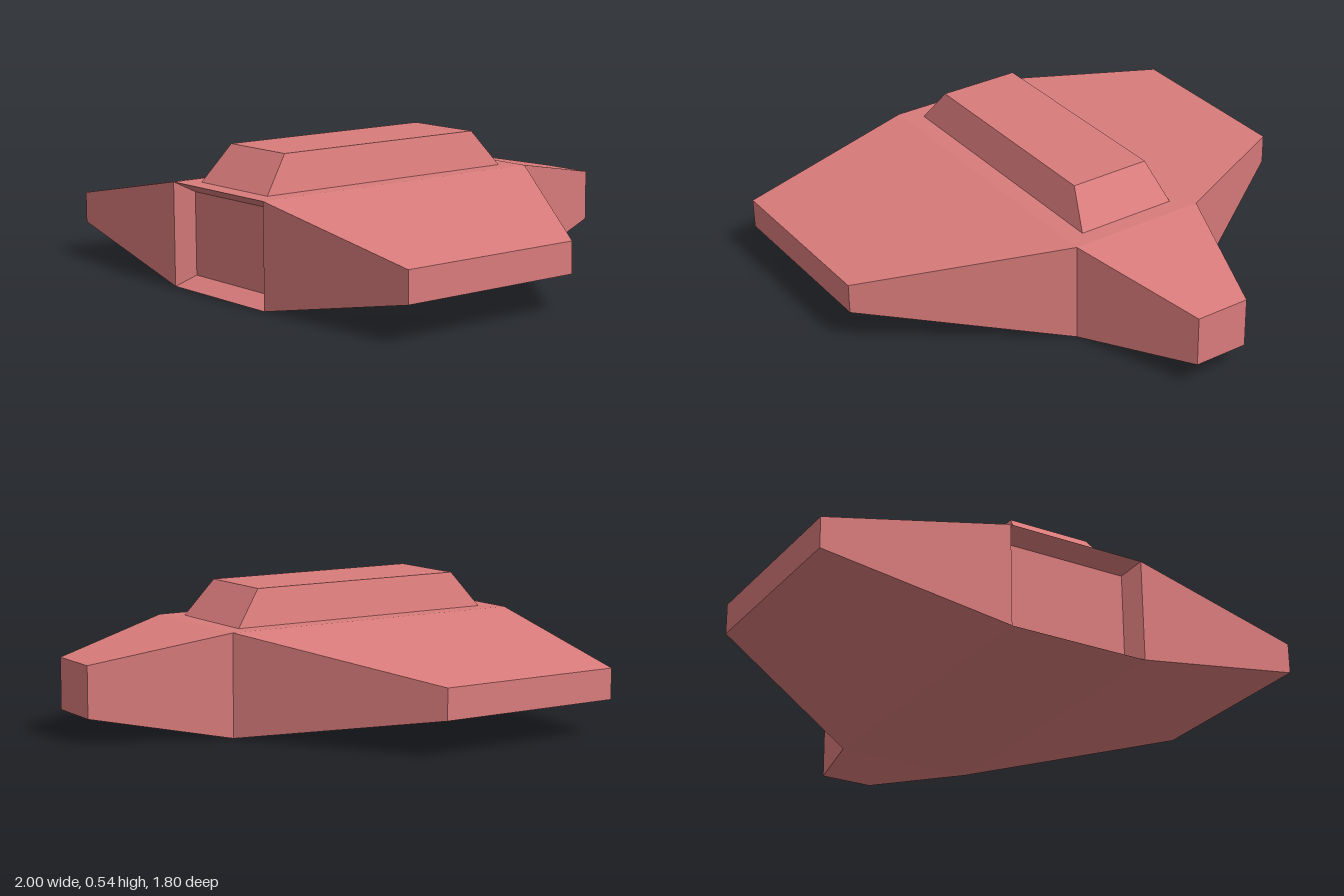
import * as THREE from 'three';

// Skin a list of four-cornered rings, with optional flat end caps.
// Corners run counterclockwise about the direction of travel.
function loft(name, rings, material, capStart, capEnd) {
  const pos = [];
  const quad = (a, b, c, d) => pos.push(...a, ...b, ...c, ...a, ...c, ...d);
  for (let r = 0; r < rings.length - 1; r++) {
    const a = rings[r], b = rings[r + 1];
    for (let i = 0; i < 4; i++) {
      const j = (i + 1) % 4;
      quad(a[i], a[j], b[j], b[i]);
    }
  }
  if (capStart) quad(...[...rings[0]].reverse());
  if (capEnd) quad(...rings[rings.length - 1]);
  const geometry = new THREE.BufferGeometry();
  geometry.setAttribute('position', new THREE.Float32BufferAttribute(pos, 3));
  geometry.computeVertexNormals();
  const mesh = new THREE.Mesh(geometry, material);
  mesh.name = name;
  return mesh;
}

// Rectangular rings facing +z, sideways and +y
const ringZ = (z, w, y0, y1) => [[-w, y0, z], [w, y0, z], [w, y1, z], [-w, y1, z]];
const ringX = (x, y0, y1, z0, z1) => {
  const ring = [[x, y0, z0], [x, y1, z0], [x, y1, z1], [x, y0, z1]];
  return x < 0 ? ring.reverse() : ring;
};
const ringY = (y, w, z0, z1) => [[-w, y, z0], [-w, y, z1], [w, y, z1], [w, y, z0]];

export function createModel() {
  const group = new THREE.Group();
  group.name = 'spacecraft';
  const hullRed = new THREE.MeshStandardMaterial({ color: 0xd97b7b });
  hullRed.name = 'hullRed';

  const rear = ringZ(-0.38, 0.28, 0, 0.4);
  const front = ringZ(0.9, 0.28, 0, 0.4);

  // Tapered tail, central hull and recessed front panel
  group.add(loft('tail', [ringZ(-0.9, 0.11, 0.1, 0.3), rear], hullRed, true, false));
  group.add(loft('hull', [rear, front], hullRed, false, false));
  group.add(loft('frontRecess', [front, ringZ(0.83, 0.24, 0.04, 0.36)], hullRed, false, true));

  // Wings thinning towards their tips
  for (const [name, s] of [['leftWing', 1], ['rightWing', -1]]) {
    group.add(loft(name, [
      ringX(s * 0.28, 0, 0.4, -0.38, 0.9),
      ringX(s, 0.14, 0.26, 0.075, 0.84),
    ], hullRed, false, true));
  }

  // Raised cabin on the back of the hull
  group.add(loft('cabin', [
    ringY(0.4, 0.205, -0.31, 0.825),
    ringY(0.54, 0.165, -0.2, 0.715),
  ], hullRed, false, true));

  return group;
}
